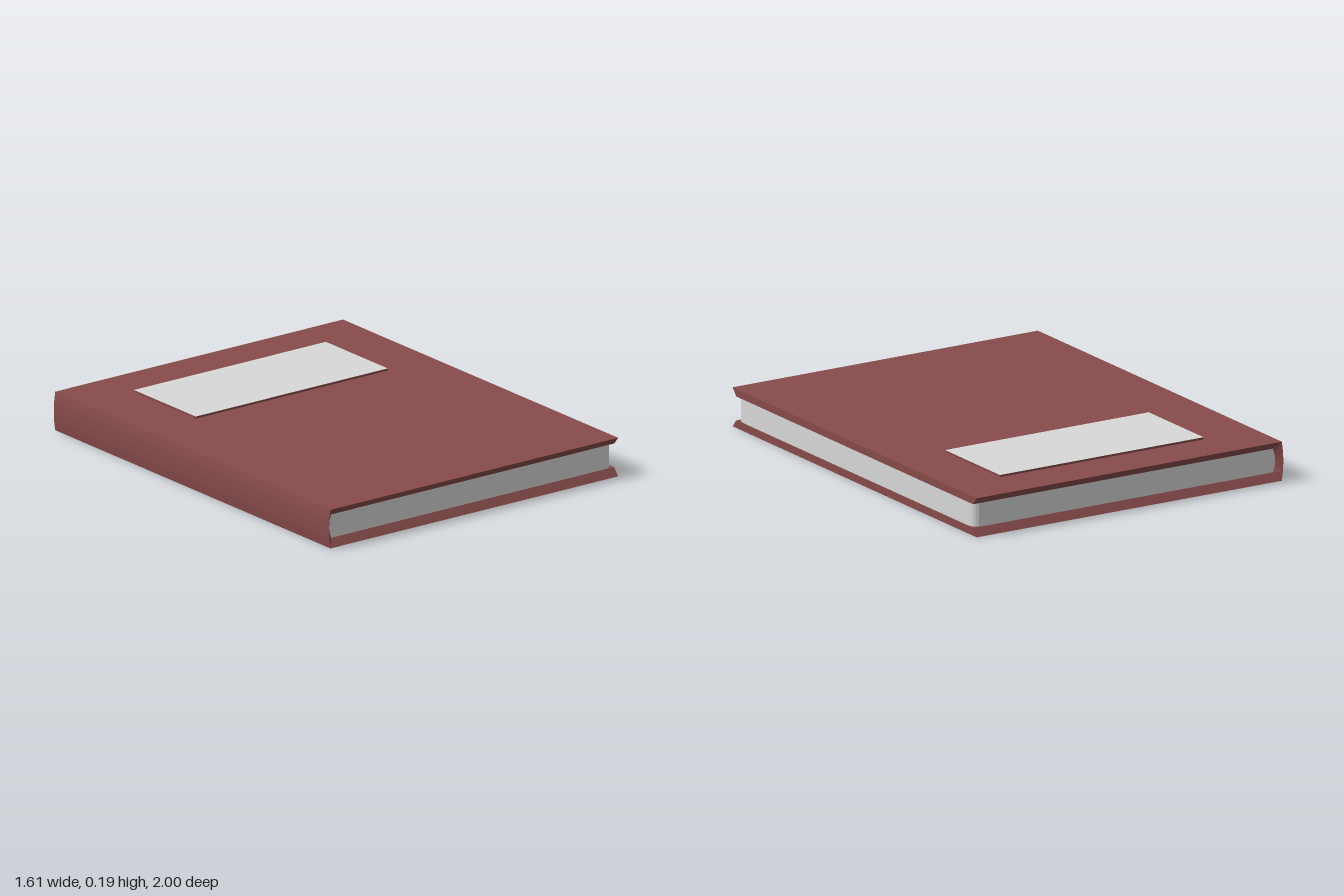
import * as THREE from 'three';

const coverRed = new THREE.MeshStandardMaterial({ color: 0x874b4b });
coverRed.name = 'cover red';
const paper = new THREE.MeshStandardMaterial({ color: 0xd8d8d8 });
paper.name = 'paper grey';

// C-shaped case: outer and inner profile, with the front and back rims bevelled inward
function coverGeometry() {
  const outer = [[0.8, 0.18], [-0.797, 0.18], [-0.803, 0.135], [-0.805, 0.09],
    [-0.803, 0.045], [-0.797, 0], [0.8, 0]];
  const inner = [[0.8, 0.145], [-0.77, 0.145], [-0.779, 0.117], [-0.782, 0.09],
    [-0.779, 0.063], [-0.77, 0.035], [0.8, 0.035]];
  const sections = outer.map(([ox, oy], i) => {
    const [ix, iy] = inner[i];
    return [[ox, oy, 1], [ox, oy, -1], [ix, iy, -0.97], [ix, iy, 0.97]];
  });
  const pos = [];
  const quad = (a, b, c, d) => pos.push(...a, ...b, ...c, ...a, ...c, ...d);
  for (let i = 0; i < sections.length - 1; i++) {
    const s = sections[i], t = sections[i + 1];
    for (let k = 0; k < 4; k++) {
      const n = (k + 1) % 4;
      quad(s[k], s[n], t[n], t[k]);
    }
  }
  // Fore-edge ends of the two boards
  const [a, b, c, d] = sections[0];
  quad(a, d, c, b);
  quad(...sections[sections.length - 1]);
  const geo = new THREE.BufferGeometry();
  geo.setAttribute('position', new THREE.Float32BufferAttribute(pos, 3));
  geo.computeVertexNormals();
  return geo;
}

// Page block with rounded fore-edge corners
function pagesGeometry() {
  const z = 0.968, x = 0.796, back = -0.786;
  const shape = new THREE.Shape();
  shape.moveTo(back, -z);
  shape.lineTo(0.75, -z);
  shape.quadraticCurveTo(x, -z, x, -0.91);
  shape.lineTo(x, 0.91);
  shape.quadraticCurveTo(x, z, 0.75, z);
  shape.lineTo(back, z);
  const geo = new THREE.ExtrudeGeometry(shape, { depth: 0.114, bevelEnabled: false, curveSegments: 5 });
  return geo.rotateX(-Math.PI / 2).translate(0, 0.033, 0);
}

export function createModel() {
  const book = new THREE.Group();
  book.name = 'book';
  const add = (name, geo, mat) => {
    const mesh = new THREE.Mesh(geo, mat);
    mesh.name = name;
    book.add(mesh);
    return mesh;
  };
  add('cover', coverGeometry(), coverRed);
  add('pages', pagesGeometry(), paper);

  // Raised title plate: paper face on cover-coloured edges
  const sides = [coverRed, coverRed, paper, coverRed, coverRed, coverRed];
  add('titlePlate', new THREE.BoxGeometry(1.066, 0.012, 0.45), sides).position.set(0.008, 0.184, -0.56);
  return book;
}
